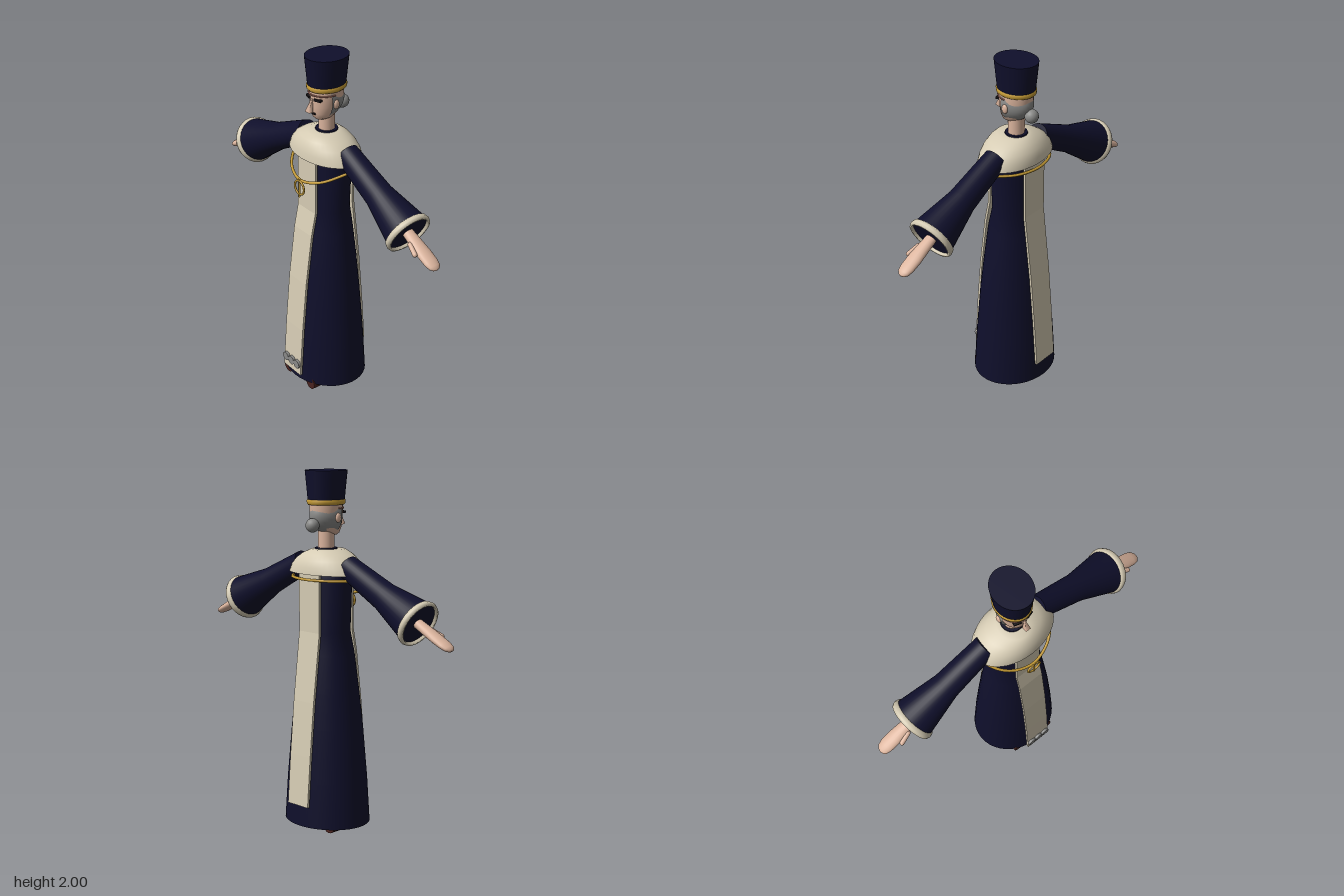
import * as THREE from 'three';

const mat = (name, color, side = THREE.FrontSide) => {
  const m = new THREE.MeshStandardMaterial({ color, side });
  m.name = name;
  return m;
};

// Closed skin through elliptical rings [y, rx, rz, zCentre], listed bottom to top
function loft(rings, capped = true, seg = 32) {
  const pos = [], idx = [];
  const addRing = ([y, rx, rz, zc = 0]) => {
    for (let i = 0; i < seg; i++) {
      const a = (i / seg) * Math.PI * 2;
      pos.push(Math.sin(a) * rx, y, zc + Math.cos(a) * rz);
    }
  };
  rings.forEach(addRing);
  for (let r = 0; r < rings.length - 1; r++)
    for (let i = 0; i < seg; i++) {
      const j = (i + 1) % seg, a = r * seg + i, b = r * seg + j;
      idx.push(a, b, b + seg, a, b + seg, a + seg);
    }
  if (capped)
    [rings[0], rings[rings.length - 1]].forEach((ring, top) => {
      const start = pos.length / 3;
      addRing(ring);
      for (let i = 1; i < seg - 1; i++)
        top ? idx.push(start, start + i, start + i + 1) : idx.push(start, start + i + 1, start + i);
    });
  const g = new THREE.BufferGeometry();
  g.setAttribute('position', new THREE.Float32BufferAttribute(pos, 3));
  g.setIndex(idx);
  g.computeVertexNormals();
  return g;
}

// Strip of cloth following outer points [z, y], thickened toward the body
function stole(points, thickness, width) {
  const inner = points.map(([z, y]) => [z - thickness, y]).reverse();
  const shape = new THREE.Shape([...points, ...inner].map(([z, y]) => new THREE.Vector2(z, y)));
  const g = new THREE.ExtrudeGeometry(shape, { depth: width, bevelEnabled: false });
  return g.translate(0, 0, -width / 2).rotateY(-Math.PI / 2);
}

export function createModel() {
  const navy = mat('navy cloth', 0x0f0f2b);
  const cream = mat('cream cloth', 0xd6ccb4, THREE.DoubleSide);
  const gold = mat('gold', 0xc49a35);
  const skin = mat('skin', 0xdcb59e);
  const grey = mat('grey', 0x8a8a88, THREE.DoubleSide);
  const brown = mat('brown leather', 0x4a2420);
  const dark = mat('dark features', 0x1a1518);
  const rose = mat('brow line', 0xa86f60);

  const model = new THREE.Group();
  const add = (name, geo, material, x = 0, y = 0, z = 0, parent = model) => {
    const m = new THREE.Mesh(geo, material);
    m.name = name;
    m.position.set(x, y, z);
    parent.add(m);
    return m;
  };

  // Long robe and capelet
  add('robe', loft([
    [0.05, 0.255, 0.22, -0.005], [0.3, 0.238, 0.207, -0.005], [0.6, 0.212, 0.183, -0.005],
    [0.8, 0.19, 0.163, -0.007], [1, 0.165, 0.14, -0.008], [1.13, 0.144, 0.118, -0.012],
    [1.4, 0.16, 0.118, -0.014], [1.5, 0.15, 0.1, -0.014], [1.56, 0.066, 0.066, -0.014],
    [1.583, 0.06, 0.06, -0.014],
  ], true, 40), navy);
  add('capelet', loft([
    [1.447, 0.244, 0.162, -0.008], [1.485, 0.226, 0.158, -0.008], [1.52, 0.195, 0.145, -0.006],
    [1.55, 0.15, 0.125, -0.003], [1.574, 0.09, 0.097, 0], [1.577, 0.058, 0.058, -0.014],
  ], false, 40), cream);

  // Stole panels with three round studs
  add('frontStole', stole([[0.236, 0.1], [0.216, 0.4], [0.189, 0.7], [0.15, 1], [0.123, 1.13], [0.12, 1.46]], 0.014, 0.155), cream);
  add('backStole', stole([[-0.237, 0.17], [-0.216, 0.45], [-0.189, 0.75], [-0.16, 1], [-0.145, 1.13], [-0.145, 1.46]], -0.014, 0.155), cream);
  for (const x of [-0.05, 0, 0.05])
    add('stoleStud', new THREE.CylinderGeometry(0.026, 0.026, 0.018, 20).rotateX(Math.PI / 2), grey, x, 0.167, 0.236);

  // Chain and ring pendant
  const chain = new THREE.CatmullRomCurve3([
    [0, 1.32, 0.163], [0.12, 1.343, 0.13], [0.195, 1.385, 0.06], [0.222, 1.415, -0.03], [0.14, 1.42, -0.13],
    [0, 1.42, -0.168], [-0.14, 1.42, -0.13], [-0.222, 1.415, -0.03], [-0.195, 1.385, 0.06], [-0.12, 1.343, 0.13],
  ].map((p) => new THREE.Vector3(...p)), true);
  add('chain', new THREE.TubeGeometry(chain, 80, 0.008, 8, true), gold);
  add('pendantRing', new THREE.TorusGeometry(0.04, 0.006, 8, 28), gold, 0, 1.277, 0.17);
  add('pendantBar', new THREE.CylinderGeometry(0.006, 0.006, 0.11, 8), gold, 0, 1.275, 0.17);

  // Neck and head
  add('neck', new THREE.CylinderGeometry(0.045, 0.045, 0.12, 24), skin, 0, 1.62, -0.014);
  add('head', loft([
    [1.65, 0.03, 0.035, 0.02], [1.662, 0.05, 0.055, 0.012], [1.69, 0.066, 0.078, -0.001],
    [1.73, 0.077, 0.09, -0.01], [1.78, 0.083, 0.096, -0.014], [1.83, 0.083, 0.096, -0.014],
  ]), skin);
  add('hair', new THREE.SphereGeometry(1, 28, 18, Math.PI, Math.PI).scale(0.09, 0.105, 0.133), grey, 0, 1.758, 0.018);
  add('hairBun', new THREE.SphereGeometry(0.038, 20, 14), grey, 0, 1.708, -0.118);

  // Face
  const nose = new THREE.CylinderGeometry(0.004, 0.022, 0.075, 4).rotateY(Math.PI / 4).rotateX(-0.25);
  add('nose', nose, skin, 0, 1.738, 0.093);
  add('mouth', new THREE.BoxGeometry(0.036, 0.01, 0.014), dark, 0, 1.69, 0.074);
  add('browLine', new THREE.TorusGeometry(0.084, 0.004, 6, 24, Math.PI).rotateX(Math.PI / 2).scale(1, 1, 1.13), rose, 0, 1.797, -0.008);
  for (const s of [-1, 1]) {
    const eye = add('eye', new THREE.BoxGeometry(0.042, 0.012, 0.03), dark, s * 0.036, 1.774, 0.068);
    eye.rotation.y = s * 0.3;
    add('ear', new THREE.SphereGeometry(1, 14, 10).scale(0.011, 0.026, 0.019), skin, s * 0.088, 1.747, -0.01);
  }

  // Tall flared hat
  add('hat', loft([[1.815, 0.089, 0.106, -0.014], [2, 0.107, 0.124, -0.014]]), navy);
  add('hatBand', loft([
    [1.817, 0.09, 0.107, -0.014], [1.823, 0.096, 0.113, -0.014],
    [1.838, 0.097, 0.114, -0.014], [1.845, 0.09, 0.108, -0.014],
  ]), gold);

  // Arms, built along local y from the shoulder, and shoes
  for (const s of [-1, 1]) {
    const arm = new THREE.Group();
    arm.name = s > 0 ? 'leftArm' : 'rightArm';
    arm.position.set(s * 0.17, 1.49, -0.018);
    arm.rotation.z = -s * THREE.MathUtils.degToRad(116.3);
    model.add(arm);
    add('sleeve', loft([[0, 0.065, 0.065], [0.3, 0.078, 0.077], [0.558, 0.123, 0.123]]), navy, 0, 0, 0, arm);
    const cuff = [[0.117, 0.535], [0.127, 0.54], [0.132, 0.558], [0.127, 0.573], [0.115, 0.573], [0.113, 0.55]];
    add('cuff', new THREE.LatheGeometry(cuff.map((p) => new THREE.Vector2(...p)), 28), cream, 0, 0, 0, arm);
    add('hand', loft([
      [0.54, 0.026, 0.03], [0.64, 0.026, 0.038], [0.7, 0.025, 0.043], [0.76, 0.022, 0.042],
      [0.79, 0.018, 0.035], [0.805, 0.011, 0.022], [0.811, 0.003, 0.006],
    ], true, 20), skin, 0, 0, 0, arm);
    const thumb = add('thumb', new THREE.CapsuleGeometry(0.013, 0.065, 5, 10), skin, 0, 0.655, 0.044, arm);
    thumb.rotation.x = 0.25;

    add('shoe', new THREE.CylinderGeometry(0.039, 0.041, 0.285, 16).rotateX(Math.PI / 2), brown, s * 0.105, 0.041, 0.043);
  }
  return model;
}
